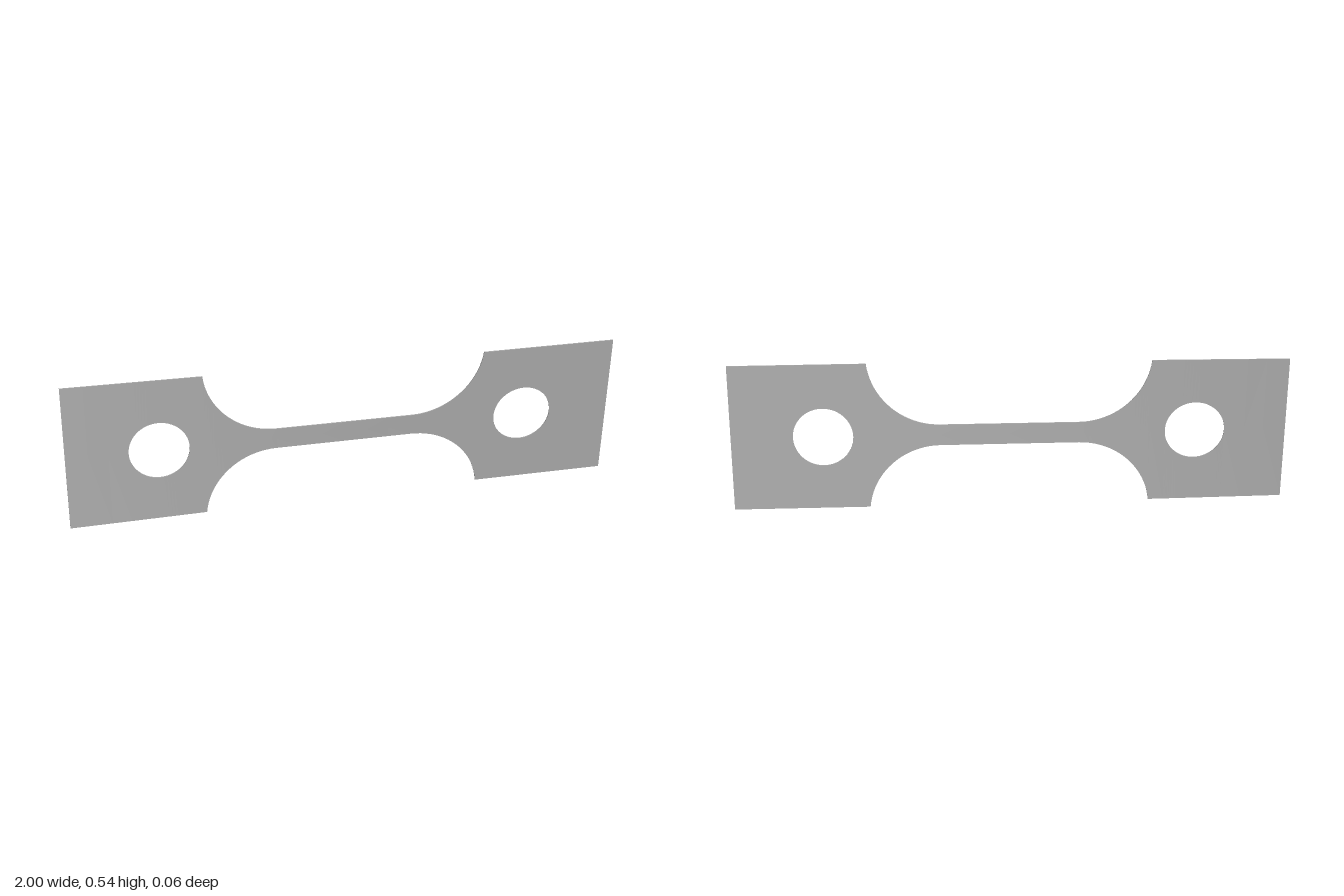
import * as THREE from 'three';

const HALF = 0.272;          // half height of the grip ends
const NECK = 0.039;          // half height of the narrow gauge section
const THICK = 0.004;
const TWIST = 0.095;         // final twist in radians
const HOLE_X = 0.67, HOLE_R = 0.108;
const FILLET_X = 0.25, FILLET_R = 0.26;
const DROP = HALF - NECK;
const SHOULDER = FILLET_X + Math.sqrt(FILLET_R ** 2 - (FILLET_R - DROP) ** 2);

// Upper outline: neck, fillet arc, grip
function outer(x) {
  const a = Math.abs(x);
  if (a >= SHOULDER - 1e-6) return HALF;
  if (a <= FILLET_X) return NECK;
  return NECK + FILLET_R - Math.sqrt(FILLET_R ** 2 - (a - FILLET_X) ** 2);
}

// Half height of the bolt hole, zero outside it
function inner(x) {
  const d = Math.abs(x) - HOLE_X;
  return Math.sqrt(Math.max(0, HOLE_R ** 2 - d * d));
}

// Twist grows from the left end and stays constant over the right grip
const angle = x => TWIST * Math.min(1, (x + 1) / 1.35);

// Column positions, denser round the arcs and holes
function columns() {
  const half = [0, 0.08, 0.16];
  const sweep = Math.asin((SHOULDER - FILLET_X) / FILLET_R);
  for (let i = 0; i <= 20; i++) half.push(FILLET_X + FILLET_R * Math.sin(sweep * i / 20));
  for (let i = 0; i <= 28; i++) half.push(HOLE_X - HOLE_R * Math.cos(Math.PI * i / 28));
  half.push(0.85, 0.92, 1);
  return [...half.slice(1).reverse().map(x => -x), ...half];
}

// Sweeps a rectangular section along x; side is +1 for the upper half, -1 for the lower
function plateHalf(side) {
  const xs = columns(), pos = [];
  const corner = (x, h, z) => {
    const a = angle(x), y = side * h;
    return [x, HALF + y * Math.cos(a) - z * Math.sin(a), y * Math.sin(a) + z * Math.cos(a)];
  };
  const section = x => {
    const o = outer(x), i = inner(x), t = THICK / 2;
    return [corner(x, i, t), corner(x, o, t), corner(x, o, -t), corner(x, i, -t)];
  };
  const quad = (a, b, c, d) => {
    const q = side > 0 ? [a, b, c, a, c, d] : [a, c, b, a, d, c];
    q.forEach(p => pos.push(...p));
  };
  for (let k = 0; k < xs.length - 1; k++) {
    const A = section(xs[k]), B = section(xs[k + 1]);
    const open = inner(xs[k]) + inner(xs[k + 1]) > 1e-4;
    for (let j = 0; j < (open ? 4 : 3); j++) {
      const n = (j + 1) % 4;
      quad(A[j], B[j], B[n], A[n]);
    }
  }
  // End faces
  const L = section(xs[0]), R = section(xs[xs.length - 1]);
  quad(L[0], L[1], L[2], L[3]);
  quad(R[3], R[2], R[1], R[0]);

  const geo = new THREE.BufferGeometry();
  geo.setAttribute('position', new THREE.Float32BufferAttribute(pos, 3));
  geo.computeVertexNormals();
  return geo;
}

export function createModel() {
  const model = new THREE.Group();
  model.name = 'twistedTestStrip';
  const steel = new THREE.MeshStandardMaterial({ color: 0xb0b0b0 });
  steel.name = 'steel grey';
  for (const [name, side] of [['upperPlateHalf', 1], ['lowerPlateHalf', -1]]) {
    const mesh = new THREE.Mesh(plateHalf(side), steel);
    mesh.name = name;
    model.add(mesh);
  }
  return model;
}
